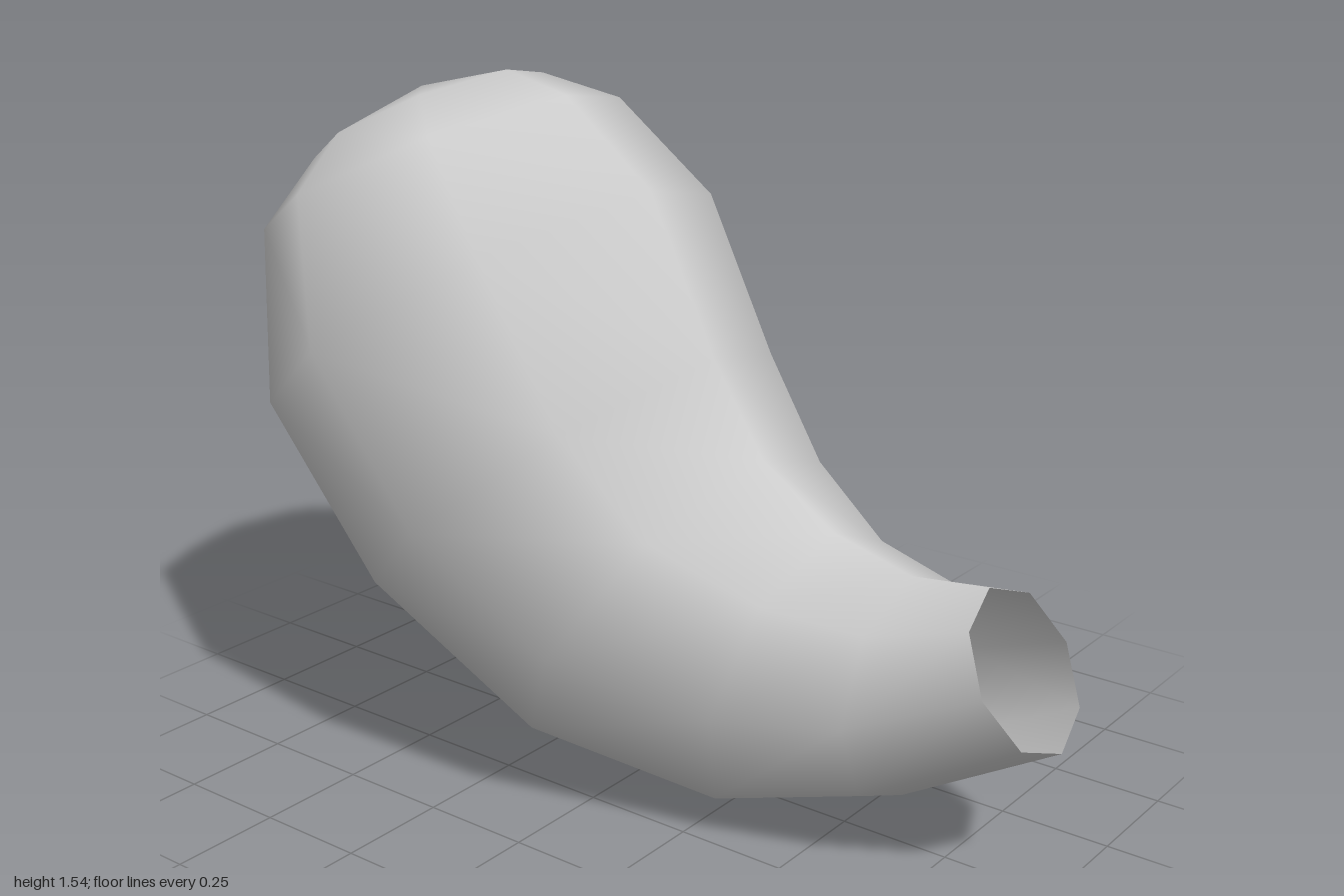
import * as THREE from 'three';

// Eight-sided sections from the open mouth to the rounded end:
// [top z, top y, bottom z, bottom y, half width]
const SECTIONS = [
  [0.82, 0.63, 1.0, 0.32, 0.175],
  [0.64, 0.61, 0.64, 0.11, 0.25],
  [0.45, 0.66, 0.30, 0.0, 0.33],
  [0.27, 0.78, -0.18, 0.06, 0.455],
  [0.14, 0.98, -0.64, 0.33, 0.535],
  [-0.03, 1.32, -0.95, 0.71, 0.565],
  [-0.26, 1.50, -1.0, 1.12, 0.45],
  [-0.43, 1.54, -0.91, 1.29, 0.285],
];
const POLE = [0, 1.48, -0.69];
const SIDES = 8;

// Curved hollow body: elliptical rings joined into a skin, closed at the pole
function bodyGeometry() {
  const positions = [];
  const indices = [];
  for (const [tz, ty, bz, by, halfWidth] of SECTIONS) {
    for (let k = 0; k < SIDES; k++) {
      const angle = (k / SIDES) * Math.PI * 2;
      const c = Math.cos(angle);
      positions.push(
        halfWidth * Math.sin(angle),
        (ty + by) / 2 + (c * (ty - by)) / 2,
        (tz + bz) / 2 + (c * (tz - bz)) / 2,
      );
    }
  }
  const pole = SECTIONS.length * SIDES;
  positions.push(...POLE);

  for (let i = 0; i < SECTIONS.length; i++) {
    for (let k = 0; k < SIDES; k++) {
      const a = i * SIDES + k;
      const b = i * SIDES + ((k + 1) % SIDES);
      if (i === SECTIONS.length - 1) indices.push(a, b, pole);
      else indices.push(a, b, a + SIDES, b, b + SIDES, a + SIDES);
    }
  }

  const geometry = new THREE.BufferGeometry();
  geometry.setAttribute('position', new THREE.Float32BufferAttribute(positions, 3));
  geometry.setIndex(indices);
  geometry.computeVertexNormals();
  return geometry;
}

export function createModel() {
  const group = new THREE.Group();
  group.name = 'curvedPouch';
  const skin = new THREE.MeshStandardMaterial({ color: 0xcccccc, side: THREE.DoubleSide });
  skin.name = 'light grey';
  const body = new THREE.Mesh(bodyGeometry(), skin);
  body.name = 'body';
  group.add(body);
  return group;
}
